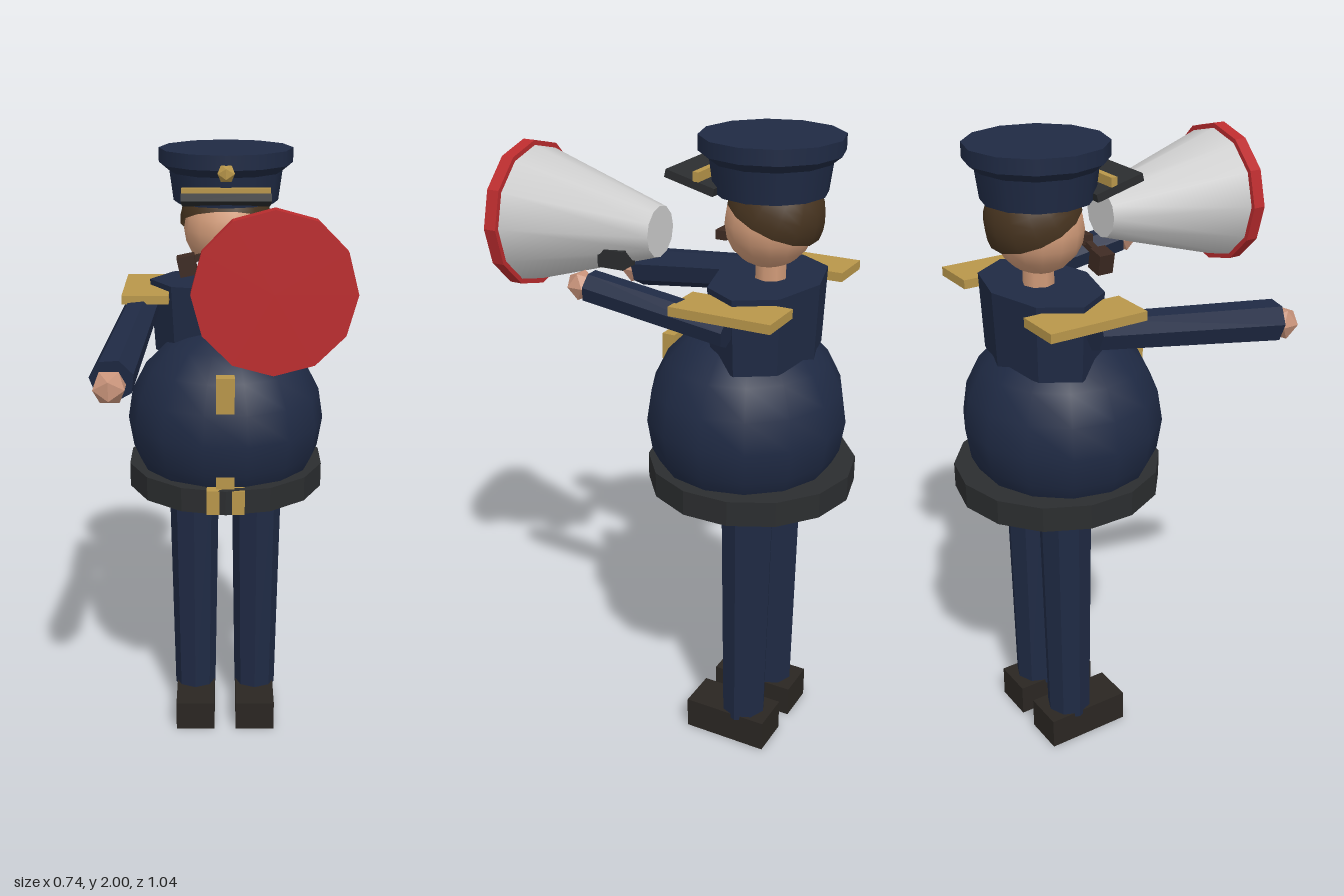
import * as THREE from 'three';

const CX = 0.02; // body centre line
const CZ = -0.24;

const paint = (color, flatShading = false) =>
  new THREE.MeshStandardMaterial({ color, flatShading });

export function createModel() {
  const model = new THREE.Group();
  model.name = 'officerWithMegaphone';

  const navy = paint(0x1f2a44), navyFlat = paint(0x1f2a44, true);
  const gold = paint(0xb8964a), goldFlat = paint(0xb8964a, true);
  const black = paint(0x2b2d2f, true), shoe = paint(0x2a2622);
  const skin = paint(0xd09a78), skinFlat = paint(0xc8937a, true);
  const hair = paint(0x46331f), wood = paint(0x3d2a22);
  const red = paint(0xbb2c2e, true), grey = paint(0xcccccc);

  const add = (name, geometry, material, x, y, z) => {
    const mesh = new THREE.Mesh(geometry, material);
    mesh.name = name;
    mesh.position.set(x, y, z);
    model.add(mesh);
    return mesh;
  };
  const box = (name, material, w, h, d, x, y, z) =>
    add(name, new THREE.BoxGeometry(w, h, d), material, x, y, z);
  const drum = (name, material, rTop, rBottom, y0, y1, sides, x, z) =>
    add(name, new THREE.CylinderGeometry(rTop, rBottom, y1 - y0, sides), material, x, (y0 + y1) / 2, z);

  // Legs, shoes and shoulder boards, mirrored about the centre line
  for (const [side, s] of [['left', 1], ['right', -1]]) {
    drum(side + 'Leg', navyFlat, 0.086, 0.072, 0.09, 0.96, 8, CX + s * 0.107, -0.235);
    box(side + 'Shoe', shoe, 0.135, 0.105, 0.28, CX + s * 0.105, 0.0525, -0.195);
    box(side + 'Epaulette', gold, 0.147, 0.028, 0.315, CX + s * 0.253, 1.553, CZ);
  }

  // Round belly, belt and chest
  add('belly', new THREE.SphereGeometry(0.318, 14, 10), navy, CX, 1.137, -0.175)
    .scale.set(1.01, 1, 0.97);
  drum('belt', black, 0.325, 0.325, 0.912, 0.992, 14, CX, -0.195);
  box('buckle', gold, 0.12, 0.08, 0.04, CX, 0.952, 0.1055);
  box('buttonStrip', gold, 0.058, 0.39, 0.042, CX - 0.002, 1.16, 0.087);
  drum('chest', navyFlat, 0.245, 0.23, 1.35, 1.585, 8, CX, CZ).scale.z = 0.66;

  // Neck, head and hair tilted to the back of the skull
  drum('neck', skin, 0.048, 0.048, 1.56, 1.66, 8, CX, -0.245);
  add('head', new THREE.SphereGeometry(0.133, 14, 10), skin, CX, 1.75, -0.238);
  const hairMaterial = hair.clone();
  hairMaterial.side = THREE.DoubleSide;
  add('hair', new THREE.SphereGeometry(0.145, 14, 8, 0, Math.PI * 2, 0, Math.PI * 0.53),
    hairMaterial, CX, 1.775, -0.255).rotation.x = -0.42;

  // Moustache and pipe
  box('moustache', wood, 0.11, 0.028, 0.035, CX, 1.705, -0.108);
  box('pipeStem', wood, 0.09, 0.02, 0.02, -0.055, 1.685, -0.105).rotation.z = 0.25;
  box('pipeBowl', wood, 0.055, 0.062, 0.05, -0.1, 1.66, -0.103).rotation.z = 0.2;

  // Peaked cap
  drum('capBand', navy, 0.178, 0.165, 1.838, 1.935, 12, CX, CZ);
  drum('capFlare', navy, 0.21, 0.178, 1.93, 1.956, 12, CX, CZ);
  drum('capCrown', navy, 0.21, 0.21, 1.955, 2.0, 12, CX, CZ);
  box('capVisor', black, 0.27, 0.024, 0.16, CX, 1.868, -0.047).rotation.x = -0.25;
  box('capTrim', gold, 0.27, 0.028, 0.02, CX, 1.887, -0.068);
  add('capBadge', new THREE.IcosahedronGeometry(0.03), goldFlat, CX, 1.948, -0.037);

  // Arms: tapered tubes between shoulder and wrist, with a faceted fist
  const arm = (side, shoulder, wrist, r0, r1, fist, fistRadius) => {
    const a = new THREE.Vector3(...shoulder), b = new THREE.Vector3(...wrist);
    const dir = b.clone().sub(a);
    const mid = a.clone().lerp(b, 0.5);
    const mesh = add(side + 'Arm', new THREE.CylinderGeometry(r1, r0, dir.length(), 7),
      navyFlat, mid.x, mid.y, mid.z);
    mesh.quaternion.setFromUnitVectors(new THREE.Vector3(0, 1, 0), dir.normalize());
    add(side + 'Hand', new THREE.IcosahedronGeometry(fistRadius), skinFlat, ...fist);
  };
  arm('right', [-0.245, 1.512, -0.22], [-0.302, 1.435, 0.385], 0.055, 0.066, [-0.307, 1.425, 0.415], 0.053);
  arm('left', [0.285, 1.5, -0.24], [0.294, 1.565, 0.205], 0.05, 0.05, [0.294, 1.565, 0.235], 0.046);

  // Megaphone: cone along z, red mouth and a grip block
  const MX = 0.146, MY = 1.712;
  add('megaphoneCone', new THREE.CylinderGeometry(0.208, 0.076, 0.43, 12), grey, MX, MY, 0.268)
    .rotation.x = Math.PI / 2;
  add('megaphoneRim', new THREE.CylinderGeometry(0.222, 0.222, 0.04, 12), red, MX, MY, 0.5)
    .rotation.x = Math.PI / 2;
  box('megaphoneGrip', black, 0.07, 0.055, 0.085, 0.215, 1.64, 0.163);

  return model;
}
